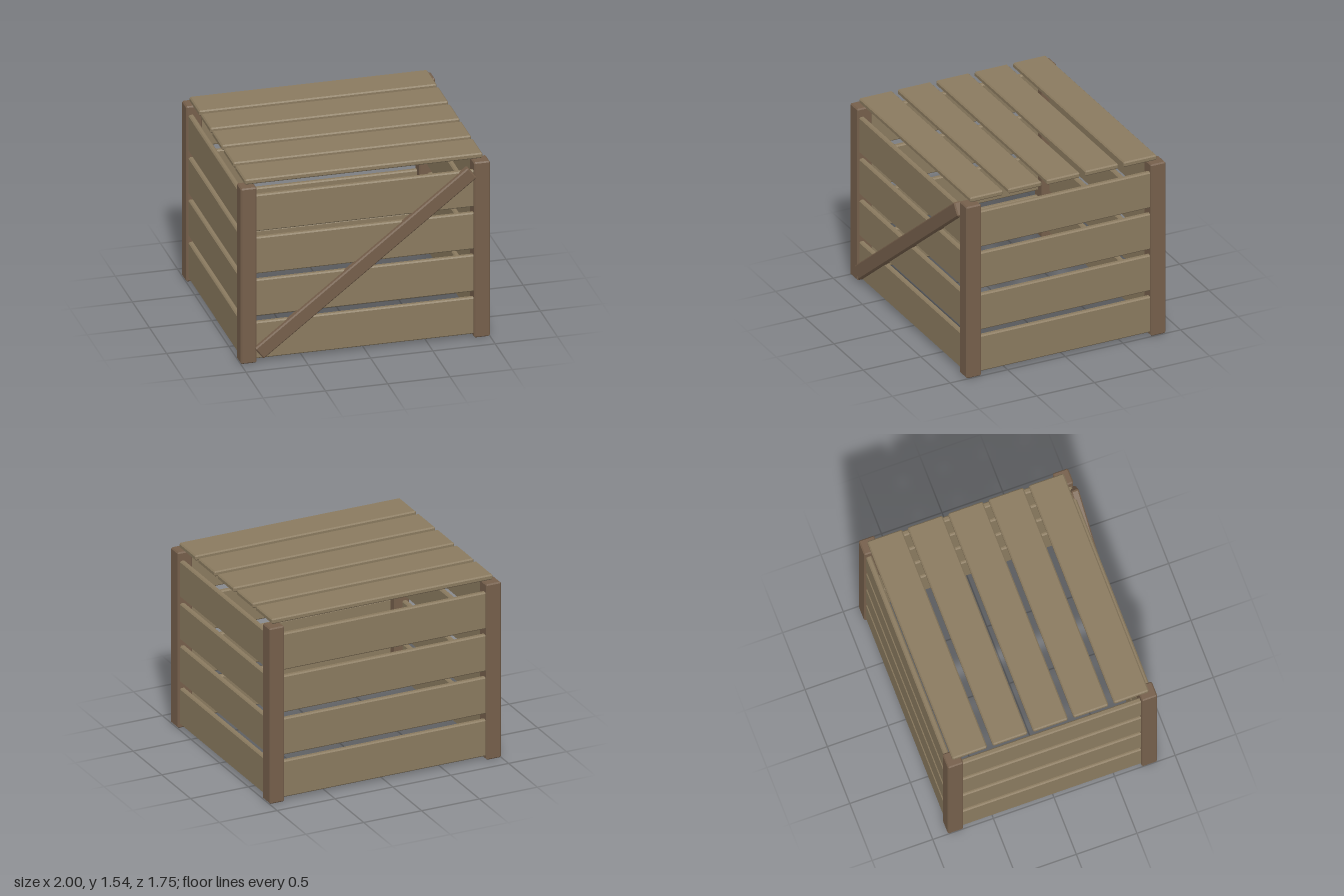
import * as THREE from 'three';
import { ConvexGeometry } from 'three/addons/geometries/ConvexGeometry.js';

const SIGNS = [-1, 1];

// Box with chamfered edges and corners
function chamferBox(w, h, d, b = 0.01) {
  const points = [];
  for (const sx of SIGNS) for (const sy of SIGNS) for (const sz of SIGNS) {
    const [x, y, z] = [w / 2, h / 2, d / 2];
    points.push(
      new THREE.Vector3(sx * x, sy * (y - b), sz * (z - b)),
      new THREE.Vector3(sx * (x - b), sy * y, sz * (z - b)),
      new THREE.Vector3(sx * (x - b), sy * (y - b), sz * z));
  }
  return new ConvexGeometry(points);
}

export function createModel() {
  const crate = new THREE.Group();
  crate.name = 'slattedCrate';
  const frameWood = new THREE.MeshStandardMaterial({ color: 0x755f4b, flatShading: true });
  const slatWood = new THREE.MeshStandardMaterial({ color: 0x8a7a5f, flatShading: true });

  const add = (name, geometry, material, x, y, z) => {
    const mesh = new THREE.Mesh(geometry, material);
    mesh.name = name;
    mesh.position.set(x, y, z);
    crate.add(mesh);
    return mesh;
  };

  const midZ = -0.01; // the brace on the front shifts the body slightly back

  // Corner posts
  const post = chamferBox(0.128, 1.49, 0.128);
  for (const sx of SIGNS) for (const sz of SIGNS) {
    add(`${sz > 0 ? 'front' : 'back'}${sx > 0 ? 'Left' : 'Right'}Post`,
      post, frameWood, sx * 0.936, 0.745, midZ + sz * 0.8);
  }

  // Wall slats, four per side
  const longSlat = chamferBox(1.78, 0.31, 0.044);
  const sideSlat = chamferBox(0.044, 0.31, 1.51);
  for (let i = 0; i < 4; i++) {
    const y = 0.183 + i * 0.36;
    for (const s of SIGNS) {
      add(s > 0 ? 'frontSlat' : 'backSlat', longSlat, slatWood, 0, y, midZ + s * 0.826);
      add(s > 0 ? 'leftSlat' : 'rightSlat', sideSlat, slatWood, s * 0.96, y, midZ);
    }
  }

  // Lid slats
  const lidSlat = chamferBox(1.91, 0.044, 0.287);
  for (let i = -2; i <= 2; i++) {
    add('lidSlat', lidSlat, slatWood, 0, 1.519, midZ + i * 0.3335);
  }

  // Diagonal brace across the front
  const brace = add('diagonalBrace', chamferBox(2.17, 0.117, 0.062), frameWood, -0.002, 0.747, 0.844);
  brace.rotation.z = THREE.MathUtils.degToRad(37.9);

  return crate;
}
